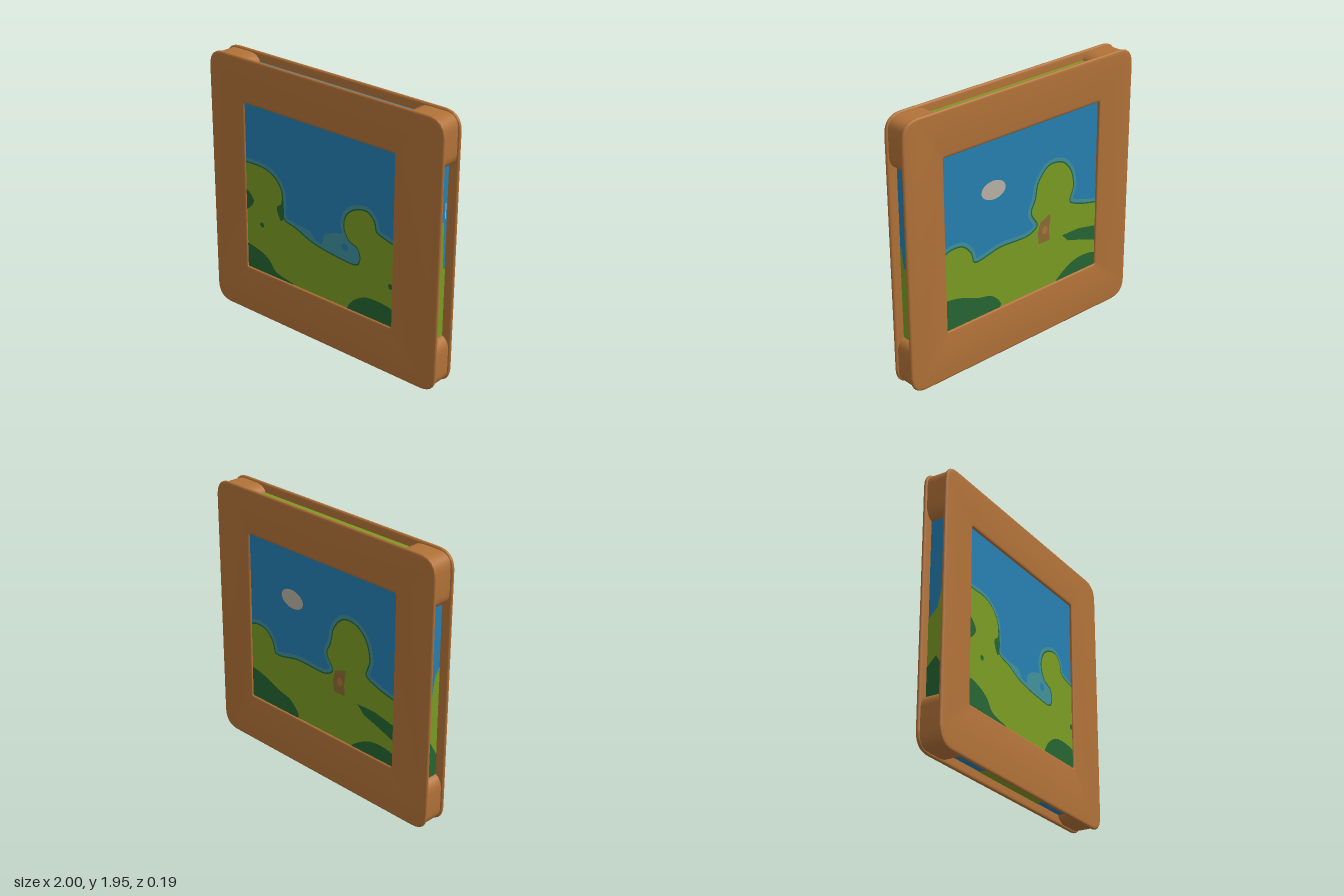
import * as THREE from 'three';
import { toCreasedNormals } from 'three/addons/utils/BufferGeometryUtils.js';

const mat = (name, color) => {
  const m = new THREE.MeshStandardMaterial({ color });
  m.name = name;
  return m;
};

// Rounded rectangle outline between two corners
function roundRect(path, x0, y0, x1, y1, r) {
  path.moveTo(x0 + r, y0);
  path.lineTo(x1 - r, y0);
  path.quadraticCurveTo(x1, y0, x1, y0 + r);
  path.lineTo(x1, y1 - r);
  path.quadraticCurveTo(x1, y1, x1 - r, y1);
  path.lineTo(x0 + r, y1);
  path.quadraticCurveTo(x0, y1, x0, y1 - r);
  path.lineTo(x0, y0 + r);
  path.quadraticCurveTo(x0, y0, x0 + r, y0);
  return path;
}

const curveThrough = (pts, closed = false) =>
  new THREE.CatmullRomCurve3(pts.map(([x, y]) => new THREE.Vector3(x, y, 0)), closed, 'centripetal');

export function createModel() {
  const model = new THREE.Group();
  const wood = mat('wood', 0xb27238);
  const sky = mat('skyBlue', 0x2580b2);
  const haze = mat('hazeTeal', 0x40909c);
  const grass = mat('grassGreen', 0x7a9c22);
  const shade = mat('darkGreen', 0x266532);
  const cloud = mat('cloudGrey', 0xbab2a6);
  const trunk = mat('trunkBrown', 0x8c6a34);
  const H = 1.945, mid = H / 2;

  function add(parent, name, geometry, material, z = 0) {
    const mesh = new THREE.Mesh(geometry, material);
    mesh.name = name;
    mesh.position.z = z;
    parent.add(mesh);
    return mesh;
  }

  function panel(name) {
    const g = new THREE.Group();
    g.name = name;
    model.add(g);
    return g;
  }

  // Flat painted patch with a smooth closed outline
  function blob(parent, name, pts, material, z) {
    const s = new THREE.Shape(curveThrough(pts, true).getPoints(40).map(p => new THREE.Vector2(p.x, p.y)));
    add(parent, name, new THREE.ShapeGeometry(s), material, z);
  }

  const flat = (parent, name, pts, material, z) =>
    add(parent, name, new THREE.ShapeGeometry(new THREE.Shape(pts.map(p => new THREE.Vector2(...p)))), material, z);

  const ellipse = (parent, name, x, y, rx, ry, material, z, rot = 0) =>
    add(parent, name, new THREE.ShapeGeometry(
      new THREE.Shape().absellipse(x, y, rx, ry, 0, Math.PI * 2, false, rot)), material, z);

  // Band running along the upper side of a left-to-right curve
  function ribbon(parent, name, curve, width, material, z) {
    const n = 120, pos = [], idx = [];
    for (let i = 0; i <= n; i++) {
      const p = curve.getPoint(i / n), t = curve.getTangent(i / n);
      pos.push(p.x, p.y, 0, p.x - t.y * width, p.y + t.x * width, 0);
      if (i < n) idx.push(2 * i, 2 * i + 2, 2 * i + 1, 2 * i + 1, 2 * i + 2, 2 * i + 3);
    }
    const g = new THREE.BufferGeometry();
    g.setAttribute('position', new THREE.Float32BufferAttribute(pos, 3));
    g.setAttribute('normal', new THREE.Float32BufferAttribute(pos.map((_, i) => (i % 3 === 2 ? 1 : 0)), 3));
    g.setIndex(idx);
    add(parent, name, g, material, z);
  }

  // Hill with dark outline and hazy glow above it
  function hill(parent, pts) {
    const curve = curveThrough(pts);
    const outline = curve.getPoints(120).map(p => [p.x, p.y]);
    outline.push([pts[pts.length - 1][0], 0.3], [pts[0][0], 0.3]);
    ribbon(parent, 'hillHaze', curve, 0.035, haze, 0.0775);
    ribbon(parent, 'hillEdge', curve, 0.01, shade, 0.079);
    flat(parent, 'hill', outline.reverse(), grass, 0.0805);
  }

  // Inner block
  const core = add(model, 'innerBlock', new THREE.BoxGeometry(1.86, 1.81, 0.152), sky);
  core.position.y = mid;

  // Soft-edged window frames on both faces
  function frame(name, x0, x1, z) {
    const s = roundRect(new THREE.Shape(), -1, 0, 1, H, 0.13);
    s.holes.push(roundRect(new THREE.Path(), x0, 0.365, x1, 1.622, 0.012));
    const g = new THREE.ExtrudeGeometry(s, {
      depth: 0.004, bevelThickness: 0.011, bevelSize: 0.022, bevelOffset: -0.022,
      bevelSegments: 5, curveSegments: 10,
    });
    g.translate(0, 0, -0.002);
    add(model, name, toCreasedNormals(g, 0.9), wood, z);
  }
  frame('frontFrame', -0.688, 0.625, 0.08);
  frame('backFrame', -0.685, 0.685, -0.08);

  // Corner posts joining the frames
  for (const sx of [-1, 1]) for (const top of [false, true]) {
    const s = roundRect(new THREE.Shape(), -0.16, -0.175, 0.16, 0.175, 0.1);
    const g = new THREE.ExtrudeGeometry(s, { depth: 0.15, bevelEnabled: false, curveSegments: 10 });
    g.translate(0, 0, -0.075);
    const post = add(model, 'cornerPost', toCreasedNormals(g, 0.9), wood);
    post.position.set(sx * 0.825, top ? H - 0.19 : 0.19, 0);
  }

  // Front landscape
  const front = panel('frontPicture');
  hill(front, [[-0.72, 1.18], [-0.5, 1.175], [-0.41, 1.13], [-0.36, 1.06], [-0.35, 0.97], [-0.34, 0.85],
    [-0.22, 0.81], [-0.08, 0.755], [0.15, 0.72], [0.32, 0.72], [0.35, 0.77], [0.33, 0.85], [0.25, 0.89],
    [0.21, 0.97], [0.23, 1.06], [0.3, 1.12], [0.4, 1.14], [0.46, 1.09], [0.48, 1.02], [0.56, 0.99], [0.66, 0.965]]);
  flat(front, 'valleyHaze', [[-0.35, 0.8], [0, 0.7], [0.36, 0.7], [0.34, 0.88], [0.2, 0.92], [0.1, 0.89],
    [0.03, 0.85], [0.01, 0.77], [-0.04, 0.78], [-0.1, 0.84], [-0.25, 0.85]], haze, 0.0785);
  ellipse(front, 'hazeGap', 0.215, 0.82, 0.028, 0.028, sky, 0.0795);
  blob(front, 'leftShade', [[-0.72, 0.98], [-0.65, 0.95], [-0.62, 0.9], [-0.65, 0.85], [-0.72, 0.81]], shade, 0.082);
  blob(front, 'treeShade', [[-0.345, 1.03], [-0.36, 0.96], [-0.4, 0.92], [-0.36, 0.83], [-0.338, 0.86]], shade, 0.082);
  blob(front, 'lowerLeftBush', [[-0.72, 0.54], [-0.58, 0.53], [-0.48, 0.48], [-0.42, 0.41], [-0.25, 0.365],
    [-0.3, 0.34], [-0.72, 0.34]], shade, 0.082);
  blob(front, 'lowerRightBush', [[0.24, 0.34], [0.27, 0.42], [0.38, 0.5], [0.5, 0.515], [0.65, 0.48], [0.65, 0.34]], shade, 0.082);
  ellipse(front, 'spot', -0.545, 0.738, 0.02, 0.018, shade, 0.082);
  ellipse(front, 'spot', 0.608, 0.665, 0.018, 0.02, shade, 0.082);

  // Back landscape
  const back = panel('backPicture');
  back.rotation.y = Math.PI;
  hill(back, [[-0.72, 0.92], [-0.63, 0.95], [-0.54, 0.94], [-0.47, 0.87], [-0.44, 0.79], [-0.21, 0.82],
    [0.06, 0.82], [0.13, 0.87], [0.075, 0.98], [0.11, 1.07], [0.14, 1.19], [0.23, 1.28], [0.35, 1.27],
    [0.43, 1.19], [0.46, 1.06], [0.43, 0.95], [0.52, 0.9], [0.72, 0.85]]);
  ellipse(back, 'cloud', -0.265, 1.265, 0.105, 0.068, cloud, 0.0785, -0.08);
  flat(back, 'treeTrunk', [[0.14, 0.72], [0.24, 0.72], [0.235, 0.8], [0.25, 0.92], [0.15, 0.88], [0.13, 0.8]], trunk, 0.082);
  ellipse(back, 'trunkKnot', 0.195, 0.81, 0.025, 0.03, wood, 0.083);
  blob(back, 'lowerLeftBush', [[-0.72, 0.58], [-0.62, 0.585], [-0.48, 0.54], [-0.4, 0.51], [-0.29, 0.48],
    [-0.21, 0.38], [-0.3, 0.34], [-0.72, 0.34]], shade, 0.082);
  blob(back, 'lowerRightBush', [[0.3, 0.35], [0.43, 0.45], [0.56, 0.48], [0.72, 0.44], [0.72, 0.34]], shade, 0.082);
  flat(back, 'hillShadow', [[0.36, 0.71], [0.42, 0.65], [0.55, 0.61], [0.72, 0.55], [0.72, 0.67], [0.52, 0.71]], shade, 0.082);

  // Painted strips inside the side slots
  const right = panel('rightStrip');
  right.rotation.y = Math.PI / 2;
  flat(right, 'sideHill', [[-0.07, 0.34], [0.07, 0.34], [0.07, 0.85], [0.045, 0.87], [0.035, 1.2], [0.012, 1.2],
    [0, 0.9], [-0.035, 0.88], [-0.05, 1.02], [-0.07, 1.02]], grass, 0.933);
  flat(right, 'sideCloud', [[0.043, 1.22], [0.053, 1.22], [0.053, 1.33], [0.043, 1.33]], cloud, 0.933);
  const left = panel('leftStrip');
  left.rotation.y = -Math.PI / 2;
  flat(left, 'sideHill', [[-0.07, 0.34], [0.07, 0.34], [0.07, 1.15], [0.03, 1.1], [0, 0.95], [-0.07, 0.88]], grass, 0.933);
  flat(left, 'sideBush', [[-0.07, 0.34], [0.07, 0.34], [0.07, 0.5], [0, 0.62], [-0.07, 0.55]], shade, 0.935);

  // Painted strips inside the top and bottom slots
  const top = panel('topStrip');
  top.rotation.x = -Math.PI / 2;
  top.position.y = mid;
  flat(top, 'topGrass', [[-0.75, -0.07], [0.75, -0.07], [0.75, 0.022], [0.1, 0.025], [-0.1, 0.012], [-0.75, 0]], grass, 0.908);
  ellipse(top, 'topCloud', -0.2, 0.037, 0.37, 0.012, cloud, 0.91);
  ellipse(top, 'topCloud', 0.48, 0.03, 0.08, 0.012, cloud, 0.91);
  const bottom = panel('bottomStrip');
  bottom.rotation.x = Math.PI / 2;
  bottom.position.y = mid;
  flat(bottom, 'bottomGrass', [[-0.35, -0.07], [0.4, -0.07], [0.3, 0.07], [-0.3, 0.07]], grass, 0.908);

  return model;
}
